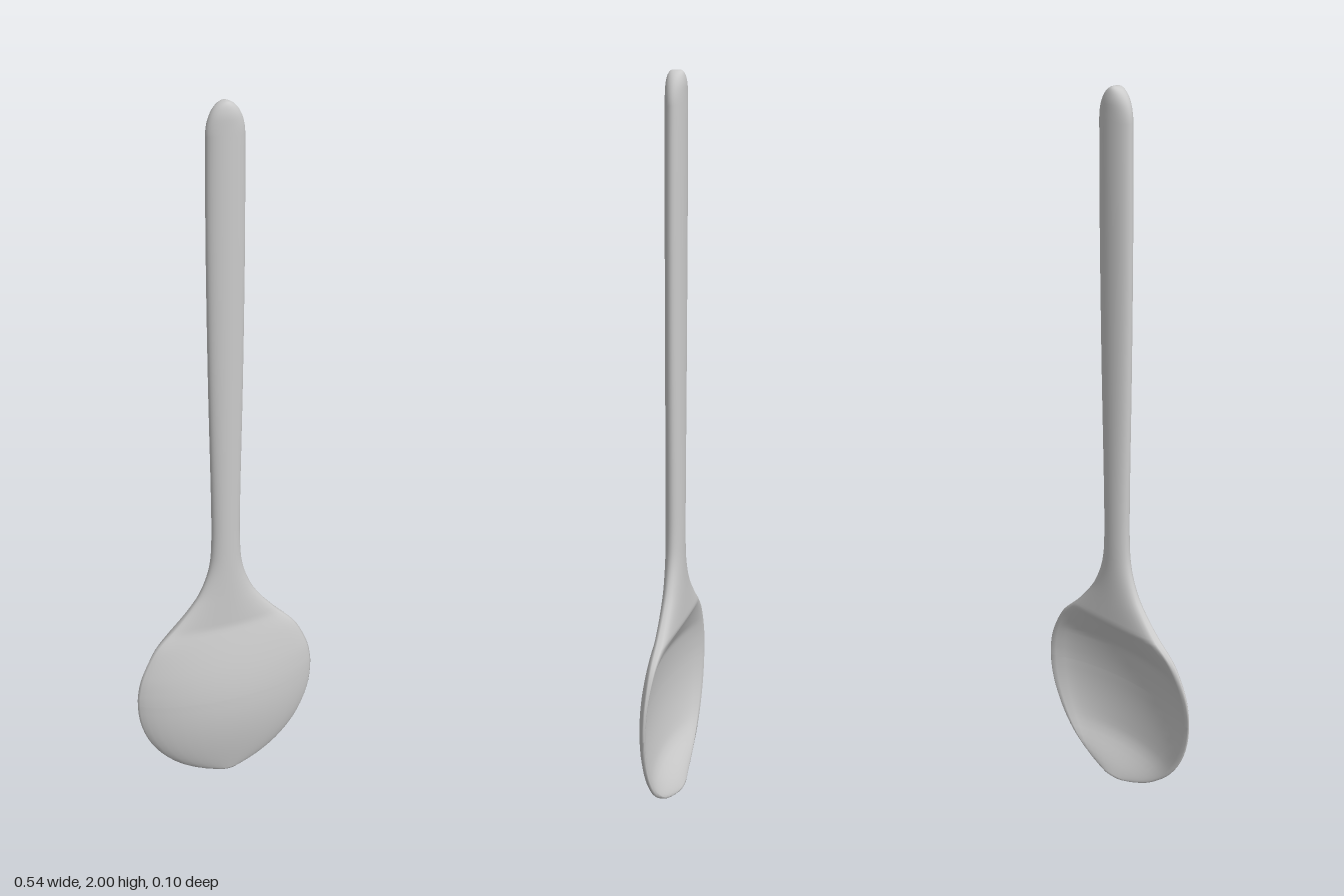
import * as THREE from 'three';

const { smoothstep, clamp } = THREE.MathUtils;
const RIM_Z = -0.02;

// Half-width outline as (height, half width): round tip, spline flanks and handle, round end
function outline() {
  const points = [];
  for (let i = 0; i < 18; i++) {
    const c = Math.cos((i / 18) * Math.PI / 2);
    points.push(new THREE.Vector2(0.3 * (1 - c), 0.268 * (1 - c * c) ** 0.52));
  }
  const flank = new THREE.SplineCurve([
    [0.3, 0.268], [0.34, 0.266], [0.4, 0.252], [0.48, 0.212], [0.545, 0.15], [0.6, 0.104], [0.65, 0.073],
    [0.72, 0.049], [0.8, 0.041], [0.95, 0.041], [1.3, 0.047], [1.65, 0.05], [1.92, 0.049],
  ].map(([y, w]) => new THREE.Vector2(y, w)));
  points.push(...flank.getPoints(72));
  for (let i = 1; i <= 12; i++) {
    const a = (i / 12) * Math.PI / 2;
    points.push(new THREE.Vector2(1.92 + 0.08 * Math.sin(a), 0.049 * Math.cos(a)));
  }
  return points;
}

// Closed cross-section: bulged front, and a back that is round or dished inside a lip
function addRing(positions, y, width, sides) {
  const bulge = y < 0.53 ? Math.sin(Math.PI * y / 0.53) : 0;
  const flat = 1 - smoothstep(y, 0.5, 0.75);
  const front = 0.006 + 0.041 * bulge;
  const back = -0.044 - 0.005 * flat + 0.025 * bulge ** 0.6;
  // The dish starts at a crease below the neck and fades out at the tip
  const ramp = smoothstep(y, 0, 0.12) * clamp((0.54 - y) / 0.12, 0, 1);
  const dish = (front - 0.013 - back) * ramp;
  // Depth closes where the outline closes
  const taper = Math.min(1, width / 0.04) ** 0.4;
  for (let j = 0; j < sides; j++) {
    const a = (j / sides) * Math.PI * 2;
    const u = Math.cos(a), s = Math.abs(Math.sin(a));
    let depth;
    if (j <= sides / 2) {
      depth = (front - RIM_Z) * s ** (1 + 0.5 * bulge);
    } else {
      const inside = Math.max(0, 1 - (u / 0.94) ** 2);
      depth = (back - RIM_Z) * s ** (1 - 0.6 * flat) + dish * inside ** 0.75;
    }
    positions.push(width * u, y, RIM_Z + depth * taper);
  }
}

// Joins the cross-sections into one smooth skin
function spoonGeometry(sides = 32) {
  const positions = [], index = [];
  const rings = outline();
  rings.forEach((p) => addRing(positions, p.x, p.y, sides));
  for (let r = 0; r < rings.length - 1; r++) {
    for (let j = 0; j < sides; j++) {
      const p = r * sides + j, q = r * sides + (j + 1) % sides;
      index.push(p, p + sides, q, q, p + sides, q + sides);
    }
  }
  const geometry = new THREE.BufferGeometry();
  geometry.setAttribute('position', new THREE.Float32BufferAttribute(positions, 3));
  geometry.setIndex(index);
  geometry.computeVertexNormals();
  return geometry;
}

export function createModel() {
  const group = new THREE.Group();
  group.name = 'spoon';
  // Bowl, neck and handle are one continuous body
  const body = new THREE.Mesh(spoonGeometry(), new THREE.MeshStandardMaterial({ color: 0xcccccc }));
  body.name = 'bowlAndHandle';
  group.add(body);
  return group;
}
